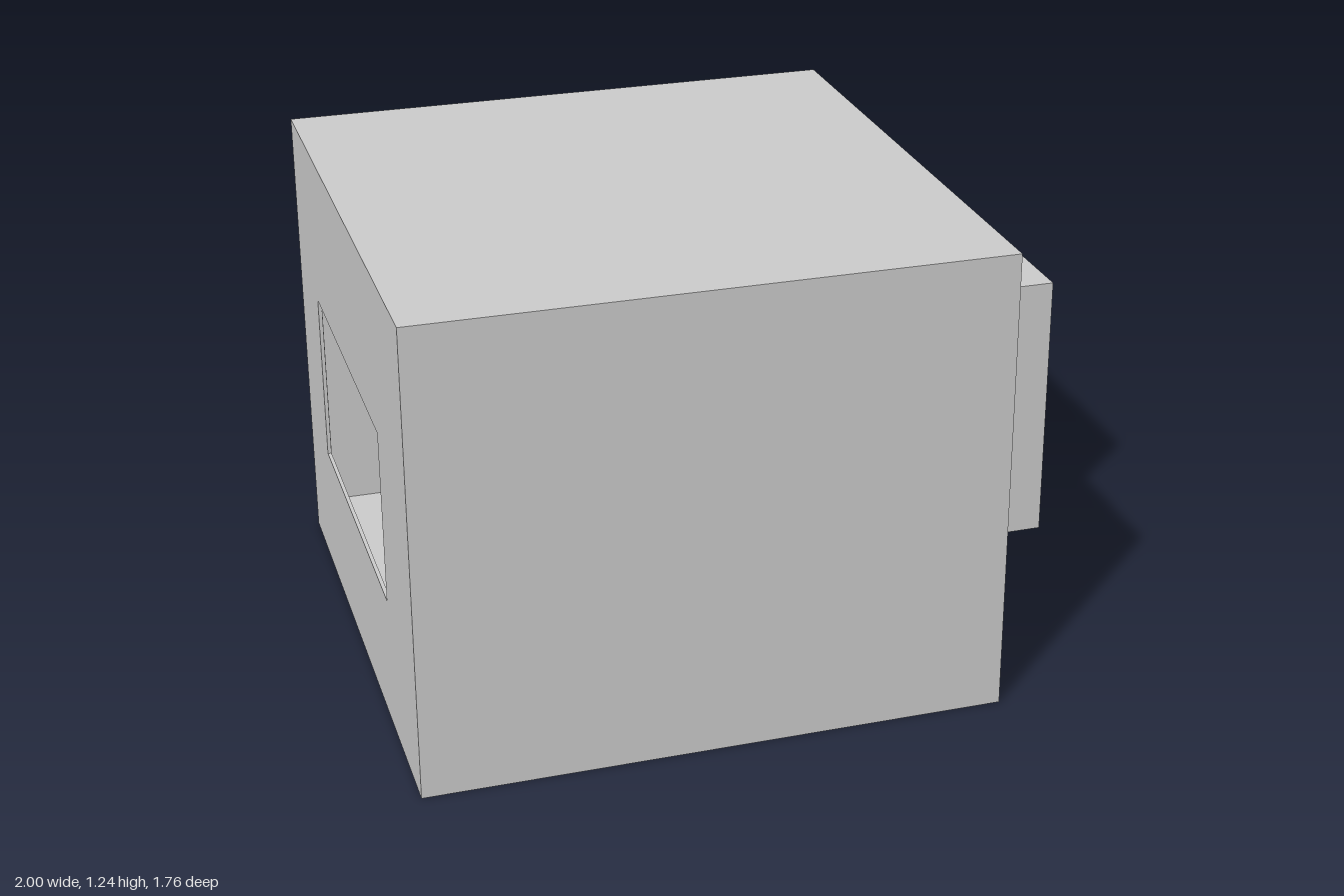
import * as THREE from 'three';

const T = 0.01; // wall thickness
const H = 1.24, LOW = 0.77; // heights of the main room and of the alcoves
const X0 = -1, X1 = 0.51, Z0 = -0.63, Z1 = 0.88;

export function createModel() {
  const model = new THREE.Group();
  model.name = 'building';
  const material = new THREE.MeshStandardMaterial({ color: 0xcccccc, flatShading: true });

  const add = (parent, name, geometry) => {
    const mesh = new THREE.Mesh(geometry, material);
    mesh.name = name;
    parent.add(mesh);
    return mesh;
  };

  // Box given by its lower and upper bounds
  const block = (parent, name, x0, x1, y0, y1, z0, z1) =>
    add(parent, name, new THREE.BoxGeometry(x1 - x0, y1 - y0, z1 - z0))
      .position.set((x0 + x1) / 2, (y0 + y1) / 2, (z0 + z1) / 2);

  const polygon = (pairs) => new THREE.Shape(pairs.map(([a, b]) => new THREE.Vector2(a, b)));
  const panel = (name, shape) =>
    add(model, name, new THREE.ExtrudeGeometry(shape, { depth: T, bevelEnabled: false }));

  // One floor under the room and all alcoves, outline in (x, -z)
  const floor = panel('floor', polygon([
    [X0, -Z1], [X1, -Z1], [X1, -0.02], [1, -0.02], [1, 0.63], [0.4, 0.63], [0.4, 0.88],
    [-0.02, 0.88], [-0.02, 0.63], [-0.55, 0.63], [-0.55, 0.76], [-0.96, 0.76], [-0.96, 0.63], [X0, 0.63],
  ]));
  floor.rotation.x = -Math.PI / 2;

  // Main room: roof and front wall
  block(model, 'roof', X0, X1, H - T, H, Z0, Z1);
  block(model, 'frontWall', X0, X1, T, H - T, Z1 - T, Z1);

  // Back wall with two doorways into the alcoves
  panel('backWall', polygon([
    [X0, T], [-0.95, T], [-0.95, LOW - T], [-0.56, LOW - T], [-0.56, T],
    [-0.01, T], [-0.01, LOW - T], [0.39, LOW - T], [0.39, T],
    [X1, T], [X1, H - T], [X0, H - T],
  ])).position.z = Z0;

  // Left wall, open towards the side annex, outline in (z, y)
  const leftWall = panel('leftWall', polygon([
    [Z0 + T, LOW - T], [0.01, LOW - T], [0.01, T], [Z1 - T, T], [Z1 - T, H - T], [Z0 + T, H - T],
  ]));
  leftWall.rotation.y = -Math.PI / 2;
  leftWall.position.x = X1;

  // Right wall with the window opening
  const rightShape = polygon([[Z0 + T, T], [Z1 - T, T], [Z1 - T, H - T], [Z0 + T, H - T]]);
  rightShape.holes.push(polygon([[-0.34, 0.36], [-0.34, 0.82], [0.53, 0.82], [0.53, 0.36]]));
  const rightWall = panel('rightWall', rightShape);
  rightWall.rotation.y = -Math.PI / 2;
  rightWall.position.x = X0 + T;

  // Low alcoves behind the back wall
  for (const [name, x0, x1, z] of [['wideAlcove', -0.02, 0.4, -0.88], ['shallowAlcove', -0.96, -0.55, -0.76]]) {
    const alcove = new THREE.Group();
    alcove.name = name;
    block(alcove, 'alcoveRoof', x0, x1, LOW - T, LOW, z, Z0);
    block(alcove, 'alcoveBack', x0, x1, T, LOW - T, z, z + T);
    block(alcove, 'alcoveRightSide', x0, x0 + T, T, LOW - T, z + T, Z0);
    block(alcove, 'alcoveLeftSide', x1 - T, x1, T, LOW - T, z + T, Z0);
    model.add(alcove);
  }

  // Side annex
  const annex = new THREE.Group();
  annex.name = 'sideAnnex';
  block(annex, 'annexRoof', X1, 1, LOW - T, LOW, Z0, 0.02);
  block(annex, 'annexBack', X1, 1, T, LOW - T, Z0, Z0 + T);
  block(annex, 'annexFront', X1, 1, T, LOW - T, 0.01, 0.02);
  block(annex, 'annexEnd', 1 - T, 1, T, LOW - T, Z0 + T, 0.01);
  model.add(annex);

  return model;
}
